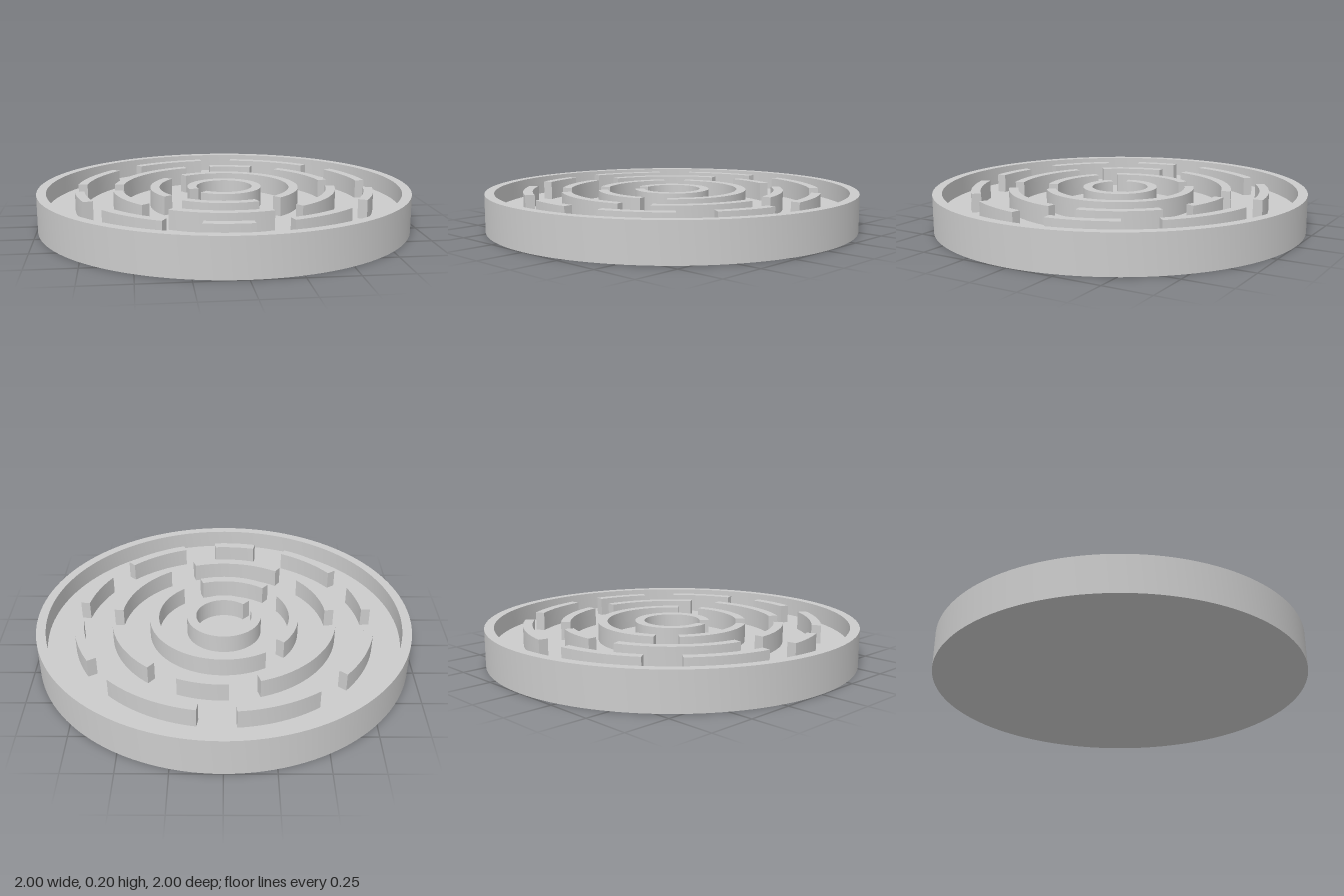
import * as THREE from 'three';
import { toCreasedNormals } from 'three/addons/utils/BufferGeometryUtils.js';

const TOP = 0.2, FLOOR = 0.1, THICK = 0.05;

// Arcs of each ring by outer radius: [start, end] in degrees, from +x towards +z
const rings = [
  { name: 'innerRing', radius: 0.2, arcs: [[163, 494]] },
  { name: 'secondRing', radius: 0.4, arcs: [[70, 128.4], [146.7, 219], [237.6, 410]] },
  { name: 'thirdRing', radius: 0.6, arcs: [
    [5, 56], [72.2, 123], [139, 175], [190.3, 252.4], [267.6, 292.7], [309.2, 350.2]] },
  { name: 'outerRing', radius: 0.8, arcs: [
    [8.9, 31.2], [45, 72], [85.8, 103.6], [117.3, 144], [158, 175.8],
    [189.3, 220.6], [234.3, 265.4], [279.2, 315.3], [329, 355.4]] },
];

// Curved wall standing on the tray floor
function arcWall(radius, startDeg, endDeg) {
  const a = THREE.MathUtils.degToRad(startDeg), b = THREE.MathUtils.degToRad(endDeg);
  const shape = new THREE.Shape();
  shape.absarc(0, 0, radius, a, b, false);
  shape.absarc(0, 0, radius - THICK, b, a, true);
  shape.closePath();
  const geometry = new THREE.ExtrudeGeometry(shape, {
    depth: TOP - FLOOR,
    bevelEnabled: false,
    curveSegments: Math.max(6, Math.ceil((endDeg - startDeg) / 6)),
  });
  geometry.rotateX(Math.PI / 2).translate(0, TOP, 0);
  return toCreasedNormals(geometry, 0.6);
}

export function createModel() {
  const model = new THREE.Group();
  model.name = 'circularMaze';
  const material = new THREE.MeshStandardMaterial({ color: 0xcccccc });

  // Round tray with a raised rim
  const profile = [
    [0, 0], [1, 0], [1, TOP], [1 - THICK, TOP], [1 - THICK, FLOOR], [0, FLOOR],
  ].map(([r, y]) => new THREE.Vector2(r, y));
  const tray = new THREE.Mesh(toCreasedNormals(new THREE.LatheGeometry(profile, 128), 0.6), material);
  tray.name = 'tray';
  model.add(tray);

  // Concentric broken walls
  for (const { name, radius, arcs } of rings) {
    const ring = new THREE.Group();
    ring.name = name;
    arcs.forEach(([start, end], i) => {
      const wall = new THREE.Mesh(arcWall(radius, start, end), material);
      wall.name = `${name}Wall${i + 1}`;
      ring.add(wall);
    });
    model.add(ring);
  }
  return model;
}
